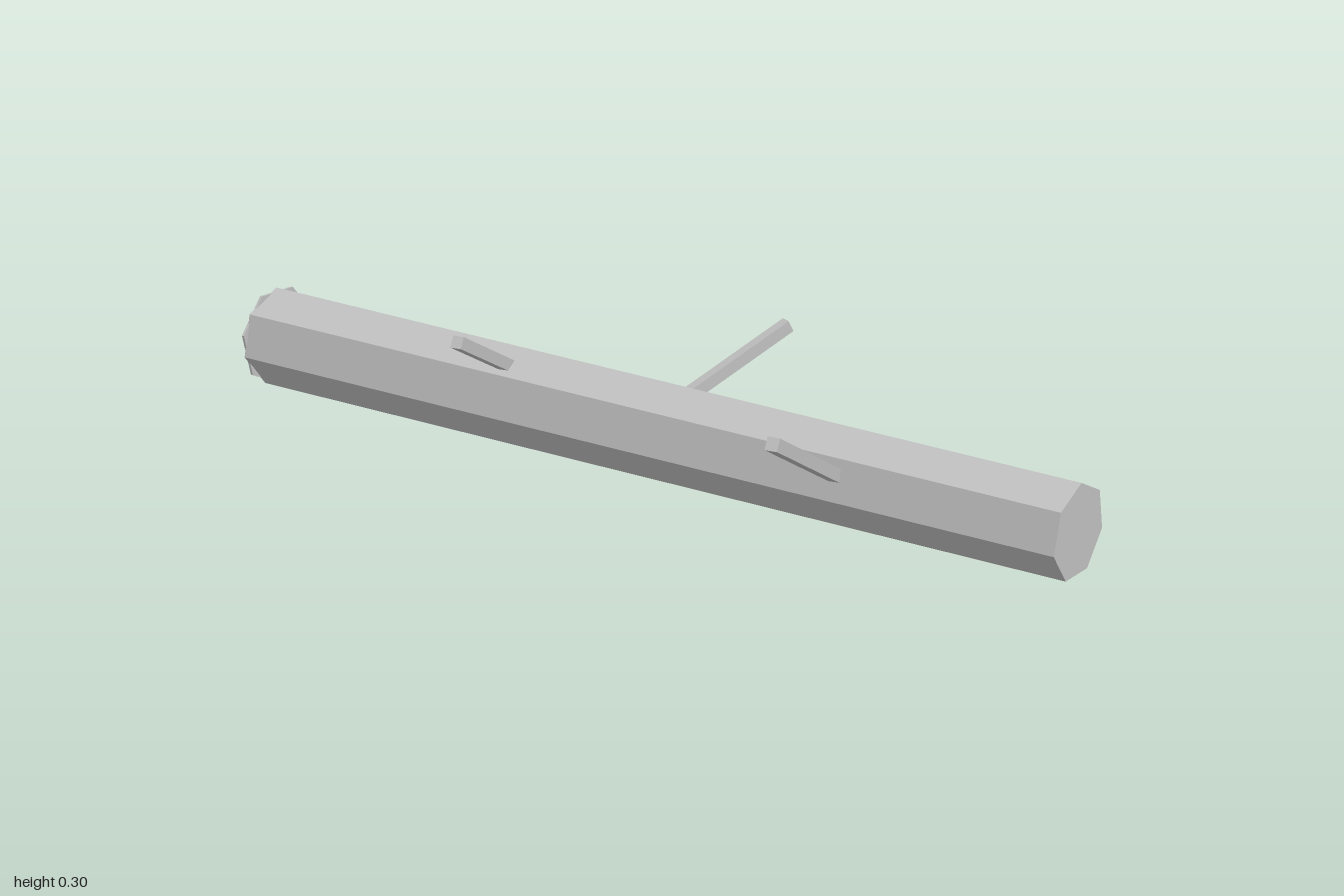
import * as THREE from 'three';

export function createModel() {
  const model = new THREE.Group();
  const grey = new THREE.MeshStandardMaterial({ color: 0xc0c0c0, flatShading: true });
  grey.name = 'plain grey';

  const add = (parent, geometry, name) => {
    const mesh = new THREE.Mesh(geometry, grey);
    mesh.name = name;
    parent.add(mesh);
    return mesh;
  };

  // Seven-sided prism lying along x, with one corner pointing up (or down when turned by PI)
  const lyingPrism = (rightRadius, leftRadius, length, turn = 0) =>
    new THREE.CylinderGeometry(rightRadius, leftRadius, length, 7, 1, false, turn)
      .rotateZ(-Math.PI / 2)
      .rotateX(-Math.PI / 2);

  // Tapered log, lying slightly askew
  const log = new THREE.Group();
  log.name = 'log';
  log.position.set(0.001, 0.112, -0.001);
  log.rotation.y = 0.149;
  model.add(log);
  const length = 1.99;
  add(log, lyingPrism(0.093, 0.11, length), 'trunk');

  // Thin cut face on the thick end, its corners between those of the trunk
  const cut = add(log, lyingPrism(0.112, 0.112, 0.006, Math.PI), 'cutFace');
  cut.position.x = -length / 2;

  // Square branch stubs, given by their tips; side is +1 for front, -1 for back
  const stubLength = 0.345;
  for (const [tipX, side] of [[-0.22, 1], [0.155, -1], [0.627, 1]]) {
    const tip = new THREE.Vector3(tipX, 0.293, 0.278 * side);
    const direction = new THREE.Vector3(0.284, 0.464, 0.838 * side).normalize();
    const branch = add(model, new THREE.BoxGeometry(0.024, 0.025, stubLength), 'branch');
    branch.position.copy(tip).addScaledVector(direction, -stubLength / 2);
    branch.lookAt(tip);
  }

  return model;
}
